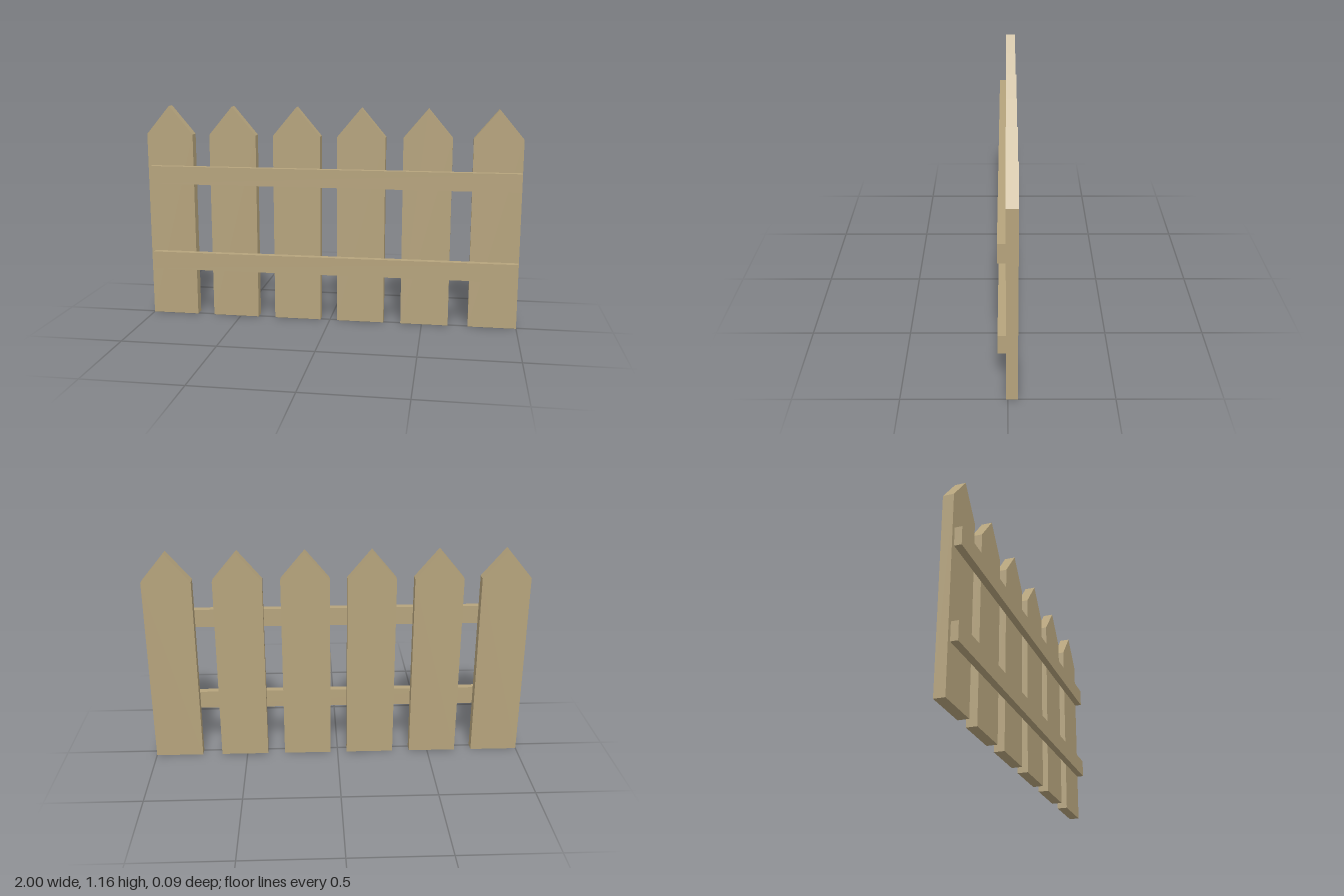
import * as THREE from 'three';

export function createModel() {
  const group = new THREE.Group();
  group.name = 'picketFence';
  const wood = new THREE.MeshStandardMaterial({ color: 0xb5a37c, flatShading: true });

  // Pointed pickets, all behind the rails
  const half = 0.127, shoulder = 1.005, tip = 1.157;
  const outline = new THREE.Shape([
    [-half, 0], [half, 0], [half, shoulder], [0, tip], [-half, shoulder],
  ].map(([x, y]) => new THREE.Vector2(x, y)));
  const picketGeometry = new THREE.ExtrudeGeometry(outline, { depth: 0.055, bevelEnabled: false });
  [-0.873, -0.526, -0.178, 0.166, 0.513, 0.873].forEach((x, i) => {
    const picket = new THREE.Mesh(picketGeometry, wood);
    picket.name = `picket${i + 1}`;
    picket.position.set(x, 0, -0.046);
    group.add(picket);
  });

  // Two horizontal rails across the front
  const railGeometry = new THREE.BoxGeometry(1.974, 0.096, 0.037);
  [['lowerRail', 0.311], ['upperRail', 0.787]].forEach(([name, y]) => {
    const rail = new THREE.Mesh(railGeometry, wood);
    rail.name = name;
    rail.position.set(0.01, y, 0.0275);
    group.add(rail);
  });

  return group;
}
